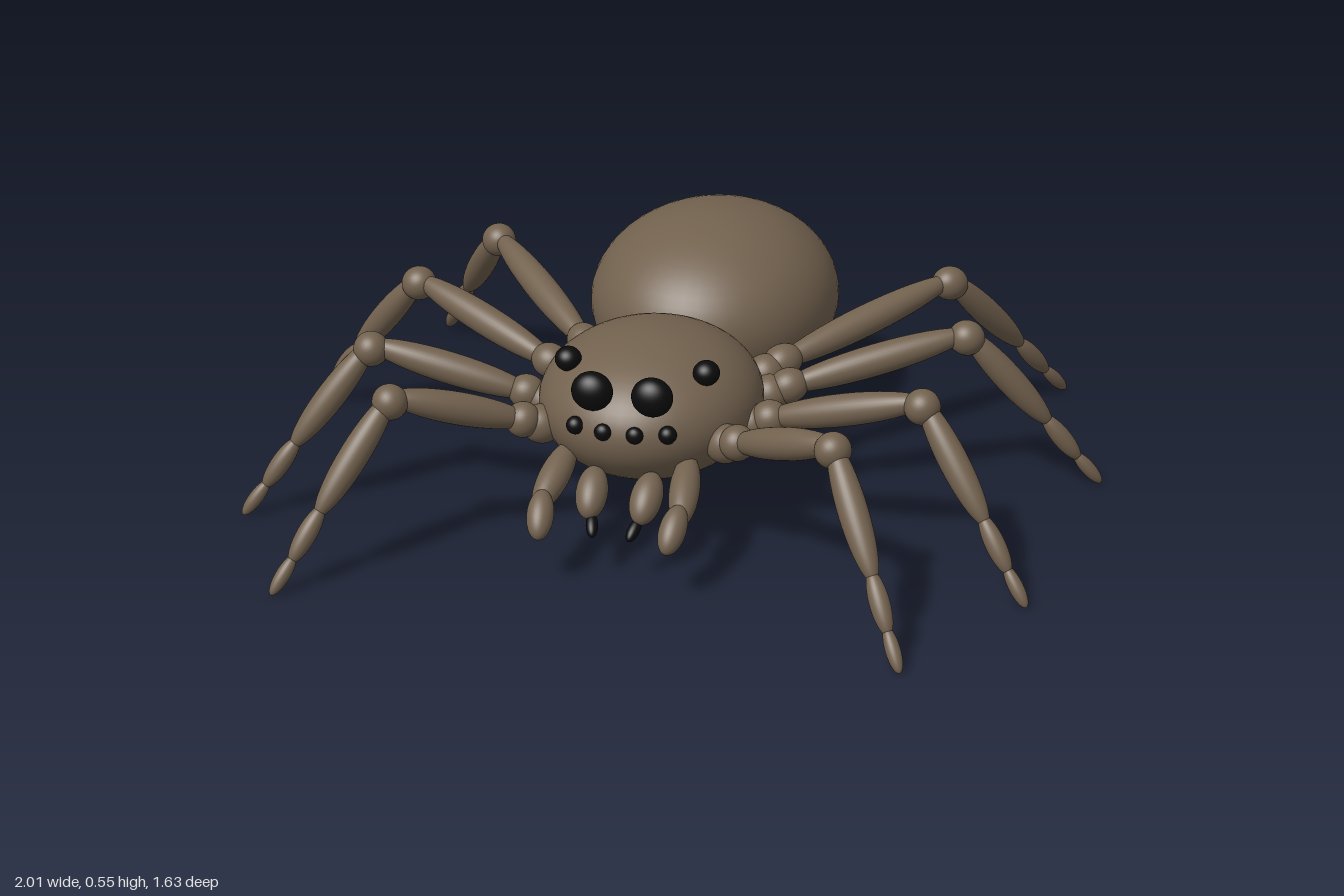
import * as THREE from 'three';

const brown = new THREE.MeshStandardMaterial({ color: 0x72614e });
brown.name = 'brownBody';
const black = new THREE.MeshStandardMaterial({ color: 0x0b0b0b });
black.name = 'blackEyes';

const ball = new THREE.SphereGeometry(1, 32, 20);
const UP = new THREE.Vector3(0, 1, 0);
const v = (p) => new THREE.Vector3(...p);

// Ellipsoid with given centre and radii
function ellipsoid(parent, name, center, radii, mat = brown) {
  const m = new THREE.Mesh(ball, mat);
  m.name = name;
  m.position.set(...center);
  m.scale.set(...radii);
  parent.add(m);
  return m;
}

// Ellipsoid stretched between two points
function spindle(parent, name, a, b, r, overlap = 0, mat = brown) {
  const dir = b.clone().sub(a);
  const len = dir.length();
  const c = a.clone().add(b).multiplyScalar(0.5);
  const m = ellipsoid(parent, name, c.toArray(), [r, len / 2 + overlap, r], mat);
  m.quaternion.setFromUnitVectors(UP, dir.normalize());
  return m;
}

// Hip, knee and foot points of the four leg pairs, on the +x side
const LEGS = [
  { coxa: [0.19, 0.27, 0.33], hip: [0.245, 0.3, 0.375], knee: [0.51, 0.405, 0.555], tip: [0.717, 0.006, 0.807] },
  { coxa: [0.22, 0.27, 0.22], hip: [0.28, 0.3, 0.225], knee: [0.655, 0.405, 0.275], tip: [0.93, 0.006, 0.435] },
  { coxa: [0.22, 0.27, 0.06], hip: [0.28, 0.3, 0.04], knee: [0.68, 0.405, -0.145], tip: [0.998, 0.006, -0.258] },
  { coxa: [0.19, 0.27, -0.04], hip: [0.235, 0.3, -0.09], knee: [0.58, 0.405, -0.475], tip: [0.83, 0.006, -0.797] },
];

function buildLeg(spec, side, name) {
  const leg = new THREE.Group();
  leg.name = name;
  const [coxa, hip, knee, tip] = [spec.coxa, spec.hip, spec.knee, spec.tip]
    .map((p) => v([p[0] * side, p[1], p[2]]));
  const ankle = knee.clone().lerp(tip, 0.6);
  const toe = knee.clone().lerp(tip, 0.81);
  ankle.y += 0.006;
  spindle(leg, 'coxa', coxa, hip, 0.046, 0.01);
  spindle(leg, 'trochanter', hip.clone().lerp(knee, -0.03), hip.clone().lerp(knee, 0.09), 0.042, 0.02);
  spindle(leg, 'femur', hip, knee, 0.038, 0.01);
  spindle(leg, 'knee', knee.clone().lerp(hip, 0.04), knee.clone().lerp(ankle, 0.08), 0.042, 0.025);
  spindle(leg, 'tibia', knee, ankle, 0.034, 0.012);
  spindle(leg, 'metatarsus', ankle, toe, 0.023, 0.018);
  spindle(leg, 'tarsus', toe, tip, 0.017, 0.004);
  return leg;
}

export function createModel() {
  const model = new THREE.Group();
  model.name = 'spider';

  // Body
  ellipsoid(model, 'abdomen', [0, 0.328, -0.42], [0.305, 0.228, 0.355]).geometry = new THREE.SphereGeometry(1, 48, 32);
  ellipsoid(model, 'cephalothorax', [0, 0.31, 0.187], [0.26, 0.17, 0.29]).geometry = new THREE.SphereGeometry(1, 48, 32);

  for (const s of [1, -1]) {
    const label = s > 0 ? 'left' : 'right';
    const p = (x, y, z) => v([x * s, y, z]);

    // Eyes
    ellipsoid(model, label + 'MainEye', [0.07 * s, 0.42, 0.44], [0.048, 0.046, 0.036], black);
    ellipsoid(model, label + 'RearEye', [0.163 * s, 0.437, 0.313], [0.031, 0.029, 0.031], black);
    ellipsoid(model, label + 'InnerSmallEye', [0.037 * s, 0.335, 0.47], [0.02, 0.02, 0.016], black);
    ellipsoid(model, label + 'OuterSmallEye', [0.108 * s, 0.335, 0.448], [0.021, 0.021, 0.02], black);

    // Chelicerae and fangs
    spindle(model, label + 'Chelicera', p(0.068, 0.225, 0.42), p(0.06, 0.14, 0.52), 0.037);
    spindle(model, label + 'Fang', p(0.056, 0.145, 0.5), p(0.042, 0.108, 0.548), 0.014, 0, black);

    // Pedipalps
    spindle(model, label + 'PalpBase', p(0.14, 0.25, 0.38), p(0.165, 0.175, 0.555), 0.035, 0.01);
    spindle(model, label + 'PalpTip', p(0.16, 0.205, 0.535), p(0.148, 0.125, 0.62), 0.031, 0.002);

    // Spinnerets
    spindle(model, label + 'Spinneret', p(0.045, 0.23, -0.7), p(0.045, 0.188, -0.816), 0.018);

    // Legs
    LEGS.forEach((spec, i) => model.add(buildLeg(spec, s, label + 'Leg' + (i + 1))));
  }
  return model;
}
